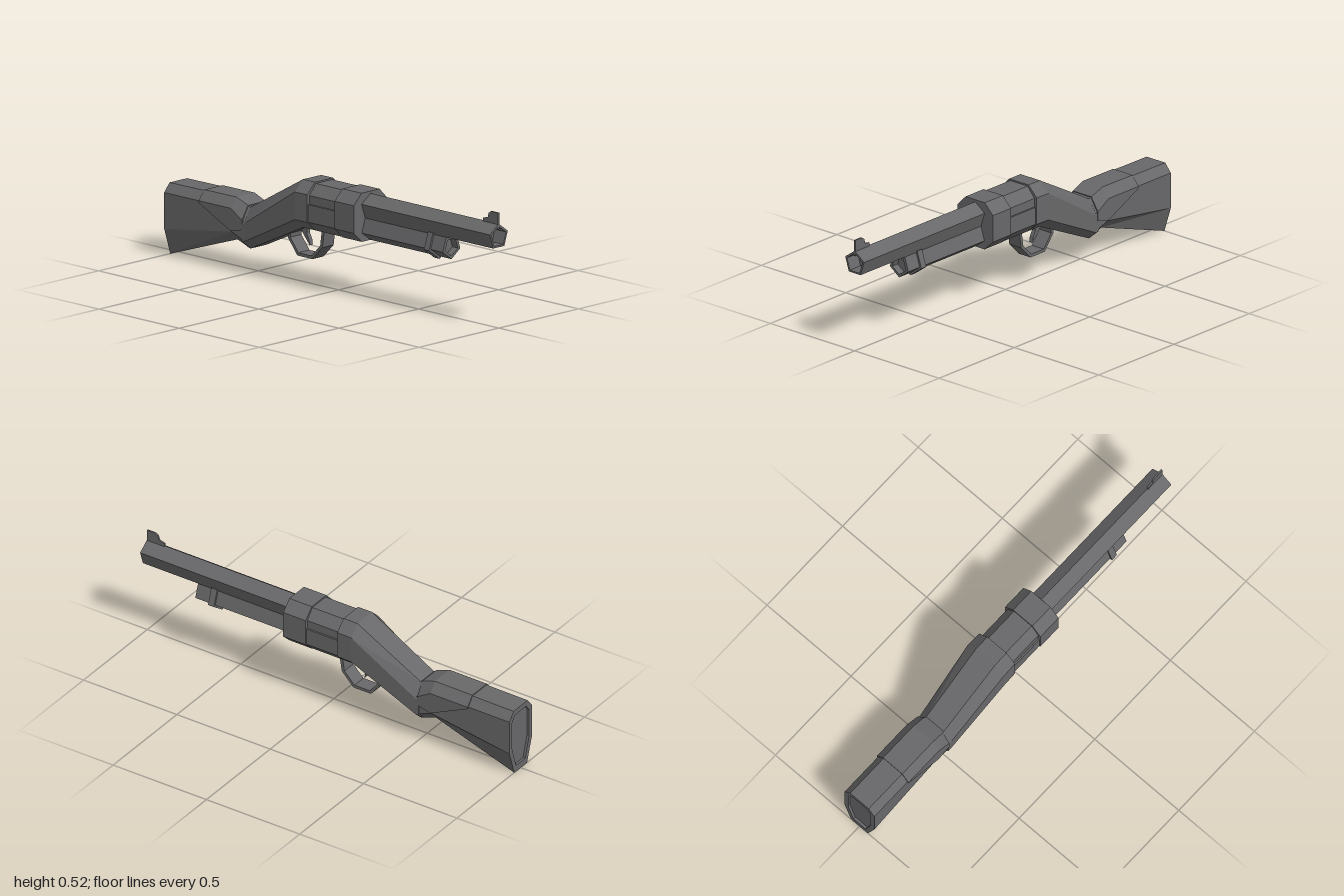
import * as THREE from 'three';

const gunmetal = new THREE.MeshStandardMaterial({ color: 0x68686a });
gunmetal.name = 'dark grey';

// Skin a row of [x, ring] sections; each ring is a convex list of [z, y] points
function loft(sections) {
  const pos = [];
  const rings = sections.map(([x, ring]) => ring.map(([z, y]) => [x, y, z]));
  const n = rings[0].length;
  const tri = (a, b, c) => pos.push(...a, ...b, ...c);
  for (let i = 0; i < rings.length - 1; i++) {
    for (let j = 0; j < n; j++) {
      const k = (j + 1) % n;
      tri(rings[i][j], rings[i + 1][j], rings[i + 1][k]);
      tri(rings[i][j], rings[i + 1][k], rings[i][k]);
    }
  }
  const first = rings[0], last = rings[rings.length - 1];
  for (let j = 1; j < n - 1; j++) {
    tri(first[0], first[j], first[j + 1]);
    tri(last[0], last[j + 1], last[j]);
  }
  const g = new THREE.BufferGeometry();
  g.setAttribute('position', new THREE.Float32BufferAttribute(pos, 3));
  g.computeVertexNormals();
  return g;
}

// Chamfered section: half widths of side, top and bottom, then four heights
const oct = (h, t, b, y0, y1, y2, y3) => [
  [h, y1], [h, y2], [t, y3], [-t, y3], [-h, y2], [-h, y1], [-b, y0], [b, y0]];

// Arched section without the lower chamfers
const arch = (h, t, y1, y2, y3) => [
  [h, y1], [h, y2], [t, y3], [-t, y3], [-h, y2], [-h, y1]];

// Regular pentagon with its tip up (dir 1) or down (dir -1)
const pent = (r, cy, dir) => Array.from({ length: 5 }, (_, i) => {
  const a = dir * Math.PI / 2 + i * Math.PI * 2 / 5;
  return [r * Math.cos(a), cy + r * Math.sin(a)];
});

// Flat outline in x, y given thickness across z
function plate(points, depth) {
  const shape = new THREE.Shape(points.map(([x, y]) => new THREE.Vector2(x, y)));
  return new THREE.ExtrudeGeometry(shape, { depth, bevelEnabled: false }).translate(0, 0, -depth / 2);
}

export function createModel() {
  const model = new THREE.Group();
  model.name = 'longGun';
  const add = (name, geometry) => {
    const mesh = new THREE.Mesh(geometry, gunmetal);
    mesh.name = name;
    model.add(mesh);
  };

  // Butt with a recessed end panel
  const panel = oct(0.066, 0.044, 0.036, 0.03, 0.13, 0.27, 0.3);
  add('butt', loft([
    [-0.988, panel],
    [-1, panel],
    [-1, oct(0.088, 0.055, 0.05, 0, 0.118, 0.285, 0.325)],
    [-0.58, oct(0.088, 0.055, 0.05, 0.138, 0.18, 0.285, 0.328)],
    [-0.5, oct(0.088, 0.052, 0.05, 0.11, 0.15, 0.238, 0.298)],
  ]));

  // Raised comb wrapped over the butt
  add('comb', loft([
    [-0.78, arch(0.094, 0.057, 0.278, 0.287, 0.331)],
    [-0.58, arch(0.094, 0.057, 0.183, 0.287, 0.332)],
    [-0.51, arch(0.094, 0.055, 0.2, 0.245, 0.306)],
  ]));

  // Sloping grip
  add('grip', loft([
    [-0.515, oct(0.092, 0.052, 0.05, 0.114, 0.15, 0.225, 0.29)],
    [-0.5, oct(0.092, 0.052, 0.05, 0.11, 0.148, 0.23, 0.298)],
    [-0.165, oct(0.108, 0.057, 0.055, 0.265, 0.31, 0.436, 0.485)],
    [-0.09, oct(0.106, 0.057, 0.055, 0.265, 0.31, 0.436, 0.485)],
  ]));

  // Receiver body, inset cover and front collar
  const body = [[0.1, 0.31], [0.1, 0.39], [-0.1, 0.39], [-0.1, 0.31], [-0.055, 0.265], [0.055, 0.265]];
  add('receiver', loft([[-0.09, body], [0.08, body]]));
  const cover = arch(0.092, 0.052, 0.38, 0.43, 0.478);
  add('receiverCover', loft([[-0.09, cover], [0.08, cover]]));
  const collar = oct(0.105, 0.057, 0.055, 0.263, 0.31, 0.436, 0.485);
  add('frontCollar', loft([[0.08, collar], [0.2, collar]]));

  // Hollow-ended barrel
  const bore = pent(0.048, 0.415, 1);
  const barrel = pent(0.059, 0.416, 1);
  add('barrel', loft([[0.19, barrel], [1, barrel], [1, bore], [0.93, bore]]));

  // Magazine tube, its band and end cap
  const tube = pent(0.058, 0.321, -1);
  const tubeBore = pent(0.042, 0.319, -1);
  add('magazineTube', loft([[0.19, tube], [0.705, tube], [0.705, tubeBore], [0.67, tubeBore]]));
  const band = pent(0.069, 0.32, -1);
  add('tubeBand', loft([[0.598, band], [0.63, band]]));

  // Front sight blade
  add('frontSight', plate([
    [0.905, 0.45], [1, 0.45], [1, 0.525], [0.955, 0.525], [0.94, 0.515], [0.935, 0.495], [0.905, 0.487],
  ], 0.008));

  // Trigger guard strap and trigger
  add('triggerGuard', plate([
    [-0.28, 0.23], [-0.28, 0.195], [-0.222, 0.124], [-0.128, 0.124], [-0.066, 0.187], [-0.052, 0.275],
    [-0.068, 0.275], [-0.08, 0.193], [-0.134, 0.138], [-0.216, 0.138], [-0.266, 0.2], [-0.262, 0.235],
  ], 0.07));
  add('trigger', plate([
    [-0.235, 0.25], [-0.205, 0.215], [-0.17, 0.175], [-0.174, 0.2], [-0.188, 0.226], [-0.185, 0.27],
  ], 0.02));

  return model;
}
